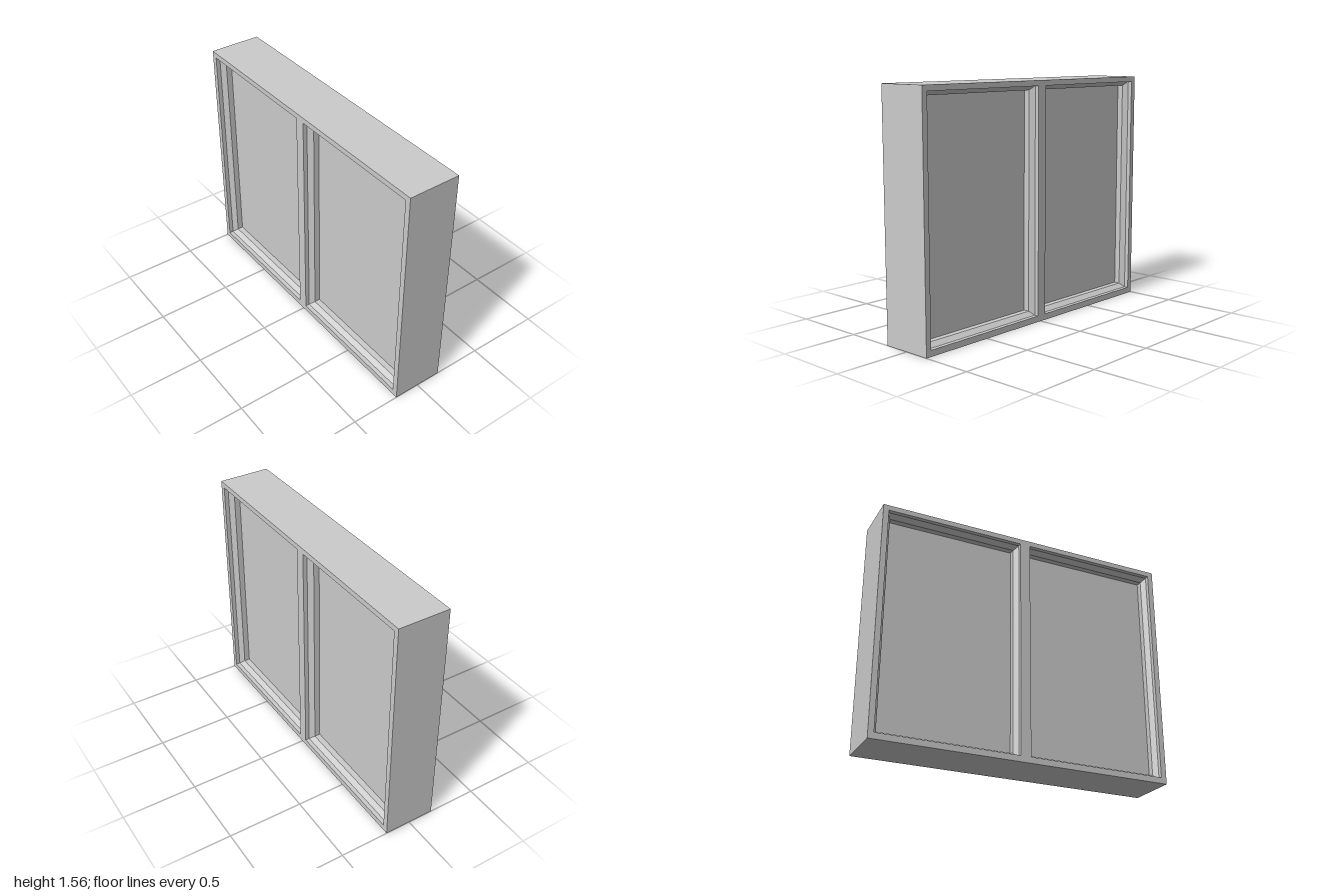
import * as THREE from 'three';

const WIDTH = 2, HEIGHT = 1.56, DEPTH = 0.345;
const BOTTOM = 0.04, TOP = 1.525;
const INSET = 0.027;
const openings = [
  { name: 'right', x0: -0.963, x1: -0.042 },
  { name: 'left', x0: 0.027, x1: 0.963 },
];

// Corners of an opening, counter-clockwise from the front, shrunk by inset
function corners({ x0, x1 }, inset, z) {
  const l = x0 + inset, r = x1 - inset, b = BOTTOM + inset, t = TOP - inset;
  return [[l, b, z], [r, b, z], [r, t, z], [l, t, z]];
}

// Mitred lining that faces into the opening, lofted from front to back
function liningGeometry(opening, profile) {
  const rings = profile.map(([inset, z]) => corners(opening, inset, z));
  const points = [];
  for (let i = 0; i < rings.length - 1; i++) {
    for (let j = 0; j < 4; j++) {
      const k = (j + 1) % 4;
      const a = rings[i][j], b = rings[i][k], c = rings[i + 1][j], d = rings[i + 1][k];
      points.push(...a, ...b, ...d, ...a, ...d, ...c);
    }
  }
  const geometry = new THREE.BufferGeometry();
  geometry.setAttribute('position', new THREE.Float32BufferAttribute(points, 3));
  geometry.computeVertexNormals();
  return geometry;
}

export function createModel() {
  const group = new THREE.Group();
  group.name = 'window';
  const material = new THREE.MeshStandardMaterial({ color: 0xcccccc });

  function add(name, geometry) {
    const mesh = new THREE.Mesh(geometry, material);
    mesh.name = name;
    group.add(mesh);
    return mesh;
  }

  // Outer frame and mullion, one slab with two openings
  const shape = new THREE.Shape([
    new THREE.Vector2(-WIDTH / 2, 0), new THREE.Vector2(WIDTH / 2, 0),
    new THREE.Vector2(WIDTH / 2, HEIGHT), new THREE.Vector2(-WIDTH / 2, HEIGHT),
  ]);
  for (const opening of openings) {
    const points = corners(opening, 0, 0).map(([x, y]) => new THREE.Vector2(x, y));
    shape.holes.push(new THREE.Path(points.reverse()));
  }
  const frame = new THREE.ExtrudeGeometry(shape, { depth: DEPTH, bevelEnabled: false });
  frame.translate(0, 0, -DEPTH / 2);
  add('frame', frame);

  // Sloped glazing beads on both faces, and the pane between them
  const outer = DEPTH / 2 - 0.028, inner = DEPTH / 2 - 0.058, glass = DEPTH / 2 - 0.097;
  const profile = [[0, outer], [INSET, inner], [INSET, -inner], [0, -outer]];
  for (const opening of openings) {
    add(opening.name + 'GlazingBead', liningGeometry(opening, profile));
    const { x0, x1 } = opening;
    const pane = add(opening.name + 'Pane',
      new THREE.BoxGeometry(x1 - x0 - 2 * INSET, TOP - BOTTOM - 2 * INSET, 2 * glass));
    pane.position.set((x0 + x1) / 2, (TOP + BOTTOM) / 2, 0);
  }
  return group;
}
